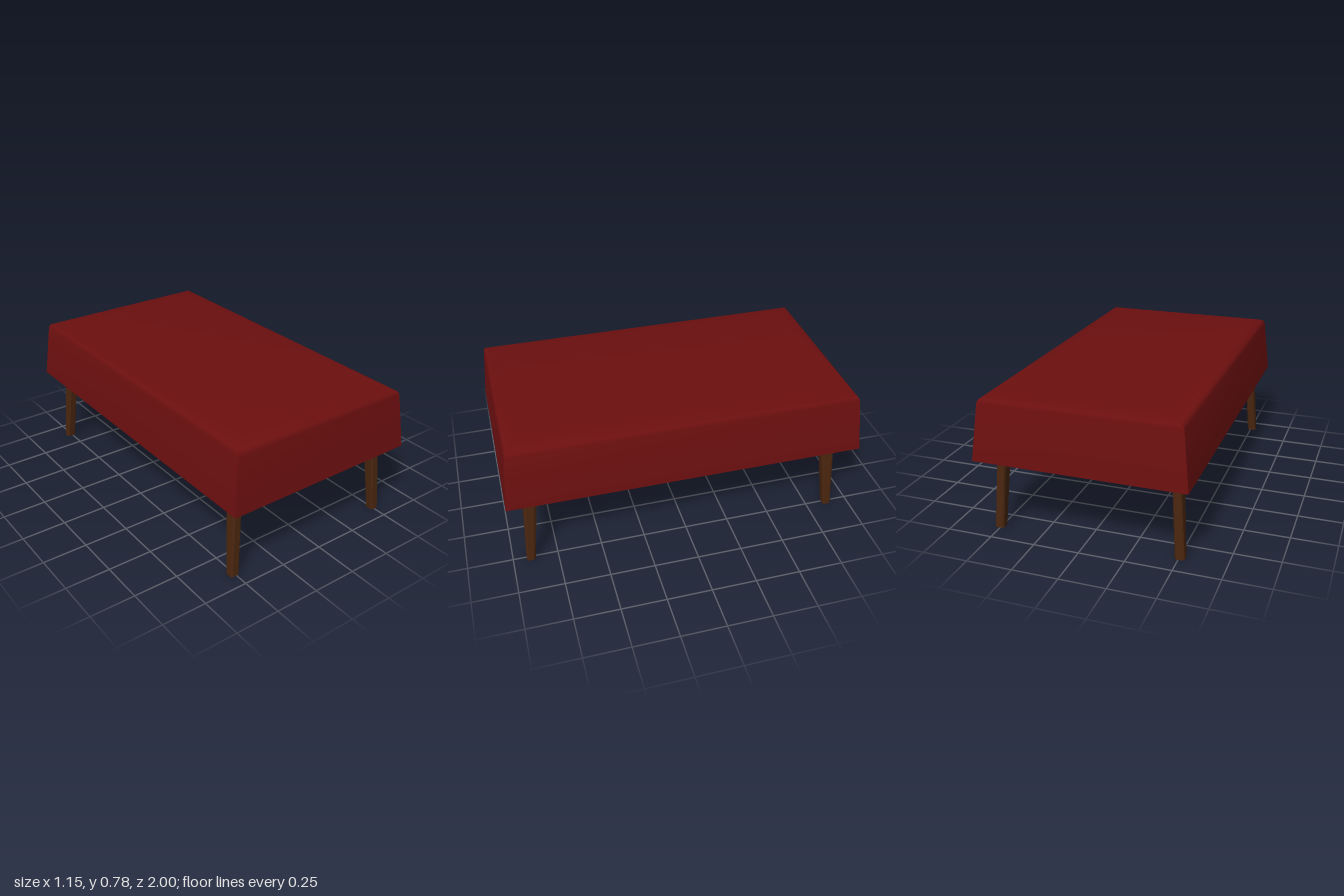
import * as THREE from 'three';
import { toCreasedNormals } from 'three/addons/utils/BufferGeometryUtils.js';

const clothRed = new THREE.MeshStandardMaterial({ color: 0x6c0f0f, side: THREE.DoubleSide });
clothRed.name = 'clothRed';
const darkWood = new THREE.MeshStandardMaterial({ color: 0x4a260f });
darkWood.name = 'darkWood';

const lerp = THREE.MathUtils.lerp;

// Draped cover: stacked rectangles [half width, half depth, height], open below
function coverGeometry() {
  const rings = [
    [0.575, 1.0, 0.43], [0.54, 0.972, 0.742], [0.535, 0.968, 0.755],
    [0.526, 0.96, 0.764], [0.51, 0.948, 0.77], [0.45, 0.88, 0.78],
  ];
  const corners = [[1, 1], [1, -1], [-1, -1], [-1, 1]];
  const positions = [];
  const indices = [];
  for (const [w, d, y] of rings) {
    for (const [sx, sz] of corners) positions.push(sx * w, y, sz * d);
  }
  for (let r = 0; r < rings.length - 1; r++) {
    for (let c = 0; c < 4; c++) {
      const a = r * 4 + c;
      const b = r * 4 + (c + 1) % 4;
      indices.push(a, b, b + 4, a, b + 4, a + 4);
    }
  }
  const t = (rings.length - 1) * 4;
  indices.push(t, t + 1, t + 2, t, t + 2, t + 3);
  const geometry = new THREE.BufferGeometry();
  geometry.setAttribute('position', new THREE.Float32BufferAttribute(positions, 3));
  geometry.setIndex(indices);
  return toCreasedNormals(geometry, THREE.MathUtils.degToRad(40));
}

// Tapered leg with chamfered corners; ranges are [min, max] at foot and at top
function legGeometry(footX, topX, footZ, topZ, height) {
  const k = 0.16;
  const outline = new THREE.Shape([
    [k, 0], [1 - k, 0], [1, k], [1, 1 - k], [1 - k, 1], [k, 1], [0, 1 - k], [0, k],
  ].map(([u, v]) => new THREE.Vector2(u, v)));
  const geometry = new THREE.ExtrudeGeometry(outline, { depth: 1, bevelEnabled: false });
  const p = geometry.attributes.position;
  for (let i = 0; i < p.count; i++) {
    const u = p.getX(i), v = 1 - p.getY(i), h = p.getZ(i);
    p.setXYZ(i,
      lerp(lerp(footX[0], footX[1], u), lerp(topX[0], topX[1], u), h),
      h * height,
      lerp(lerp(footZ[0], footZ[1], v), lerp(topZ[0], topZ[1], v), h));
  }
  geometry.computeVertexNormals();
  return geometry;
}

export function createModel() {
  const model = new THREE.Group();
  model.name = 'coveredTable';

  const add = (name, geometry, material) => {
    const mesh = new THREE.Mesh(geometry, material);
    mesh.name = name;
    model.add(mesh);
    return mesh;
  };

  add('clothCover', coverGeometry(), clothRed);

  // Wooden top hidden beneath the cover
  add('tableTop', new THREE.BoxGeometry(1.07, 0.04, 1.93), darkWood).position.y = 0.722;

  // Splayed legs
  const ends = [
    { name: 'front', foot: [0.877, 0.925], top: [0.797, 0.89] },
    { name: 'back', foot: [-0.898, -0.85], top: [-0.864, -0.766] },
  ];
  const sides = [
    { name: 'Left', foot: [0.478, 0.53], top: [0.434, 0.483] },
    { name: 'Right', foot: [-0.533, -0.481], top: [-0.485, -0.436] },
  ];
  for (const end of ends) {
    for (const side of sides) {
      add(end.name + side.name + 'Leg',
        legGeometry(side.foot, side.top, end.foot, end.top, 0.705), darkWood);
    }
  }
  return model;
}
